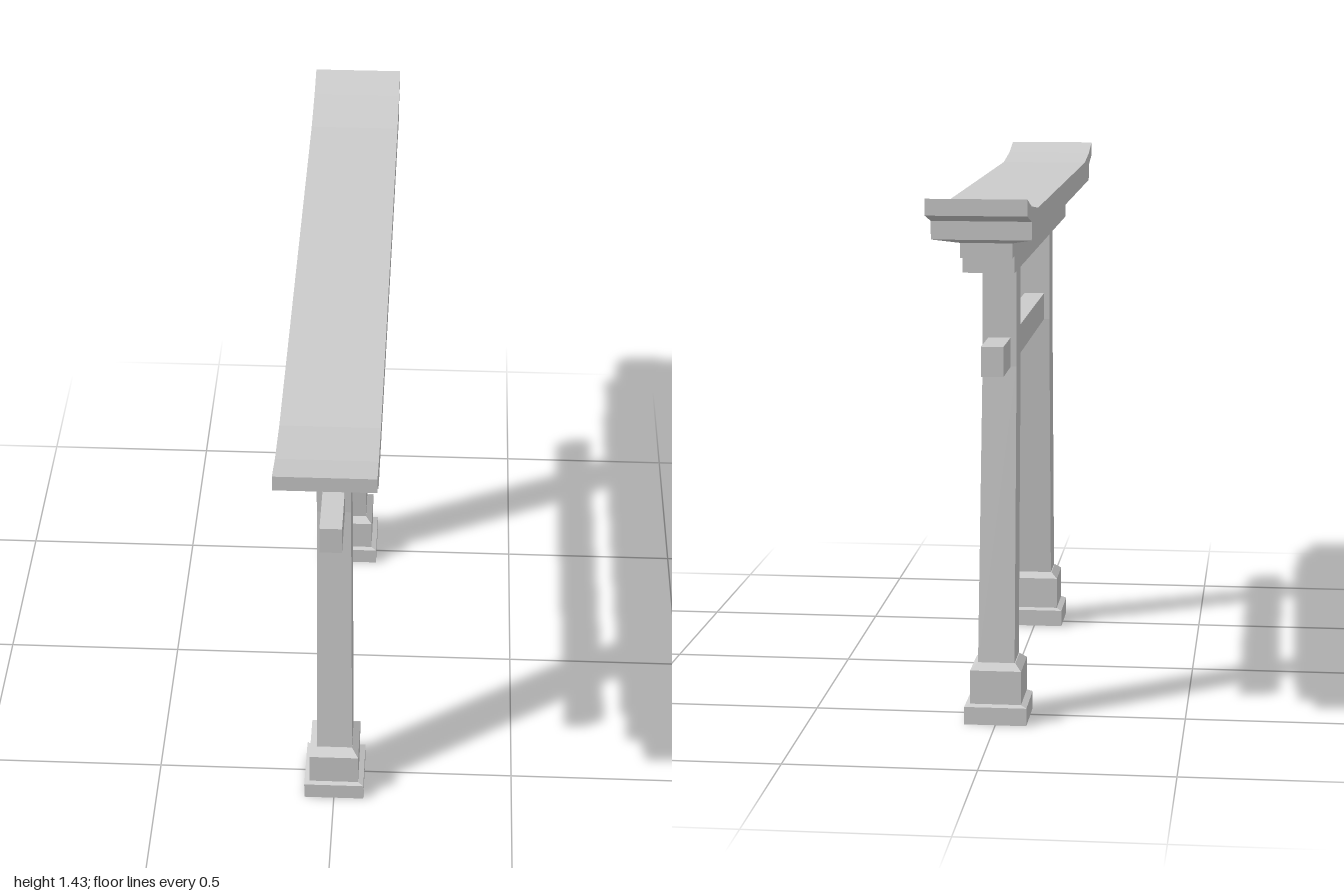
import * as THREE from 'three';

const material = new THREE.MeshStandardMaterial({ color: 0xcccccc, flatShading: true });

function addMesh(parent, name, geometry) {
  const mesh = new THREE.Mesh(geometry, material);
  mesh.name = name;
  parent.add(mesh);
  return mesh;
}

// Closed solid through rectangular sections [y, halfX, halfZ, centreX, centreZ], bottom to top
function loftRects(sections) {
  const rings = sections.map(([y, hx, hz, cx = 0, cz = 0]) =>
    [[-1, 1], [1, 1], [1, -1], [-1, -1]].map(([sx, sz]) => [cx + sx * hx, y, cz + sz * hz]));
  const positions = [];
  const quad = (a, b, c, d) => positions.push(...a, ...b, ...c, ...a, ...c, ...d);
  for (let i = 0; i < rings.length - 1; i++) {
    const lower = rings[i], upper = rings[i + 1];
    for (let j = 0; j < 4; j++) {
      const k = (j + 1) % 4;
      quad(lower[j], lower[k], upper[k], upper[j]);
    }
  }
  const bottom = rings[0], top = rings[rings.length - 1];
  quad(bottom[3], bottom[2], bottom[1], bottom[0]);
  quad(top[0], top[1], top[2], top[3]);
  const geometry = new THREE.BufferGeometry();
  geometry.setAttribute('position', new THREE.Float32BufferAttribute(positions, 3));
  geometry.computeVertexNormals();
  return geometry;
}

// Roof beam: long profile with upturned tips, extruded across the gate
function roofGeometry() {
  const half = [[0.895, 1.324], [0.895, 1.37], [1, 1.393], [1, 1.434], [0.895, 1.408], [0.735, 1.39]];
  const outline = [...half, ...half.map(([z, y]) => [-z, y]).reverse()];
  const shape = new THREE.Shape(outline.map(([z, y]) => new THREE.Vector2(z, y)));
  const geometry = new THREE.ExtrudeGeometry(shape, { depth: 0.25, bevelEnabled: false });
  return geometry.translate(0, 0, -0.125).rotateY(-Math.PI / 2);
}

export function createModel() {
  const gate = new THREE.Group();
  gate.name = 'gate';

  for (const side of [1, -1]) {
    const leg = new THREE.Group();
    leg.name = side > 0 ? 'frontLeg' : 'backLeg';
    gate.add(leg);

    // Stepped foot with chamfered shoulders
    const footZ = side * 0.525;
    addMesh(leg, 'foot', loftRects([
      [0, 0.083, 0.085, 0, footZ],
      [0.048, 0.083, 0.085, 0, footZ],
      [0.055, 0.068, 0.076, 0, footZ],
      [0.146, 0.068, 0.076, 0, footZ],
      [0.162, 0.05, 0.054, 0, side * 0.522],
    ]));

    // Leaning post, upright above the tie beam
    addMesh(leg, 'post', loftRects([
      [0.15, 0.049, 0.053, 0.001, side * 0.522],
      [0.95, 0.045, 0.052, -0.002, side * 0.462],
      [1.23, 0.045, 0.052, -0.002, side * 0.462],
    ]));
  }

  // Tie beam through both posts
  addMesh(gate, 'tieBeam', loftRects([[0.949, 0.029, 0.683, -0.002], [1.027, 0.029, 0.683, -0.002]]));

  // Stepped lintel and the flared support beneath the roof
  addMesh(gate, 'lowerLintel', loftRects([[1.224, 0.066, 0.74], [1.267, 0.066, 0.74]]));
  addMesh(gate, 'upperLintel', loftRects([[1.267, 0.066, 0.79], [1.305, 0.066, 0.79]]));
  addMesh(gate, 'roofSupport', loftRects([[1.305, 0.066, 0.79], [1.324, 0.125, 0.895]]));

  addMesh(gate, 'roof', roofGeometry());
  return gate;
}
